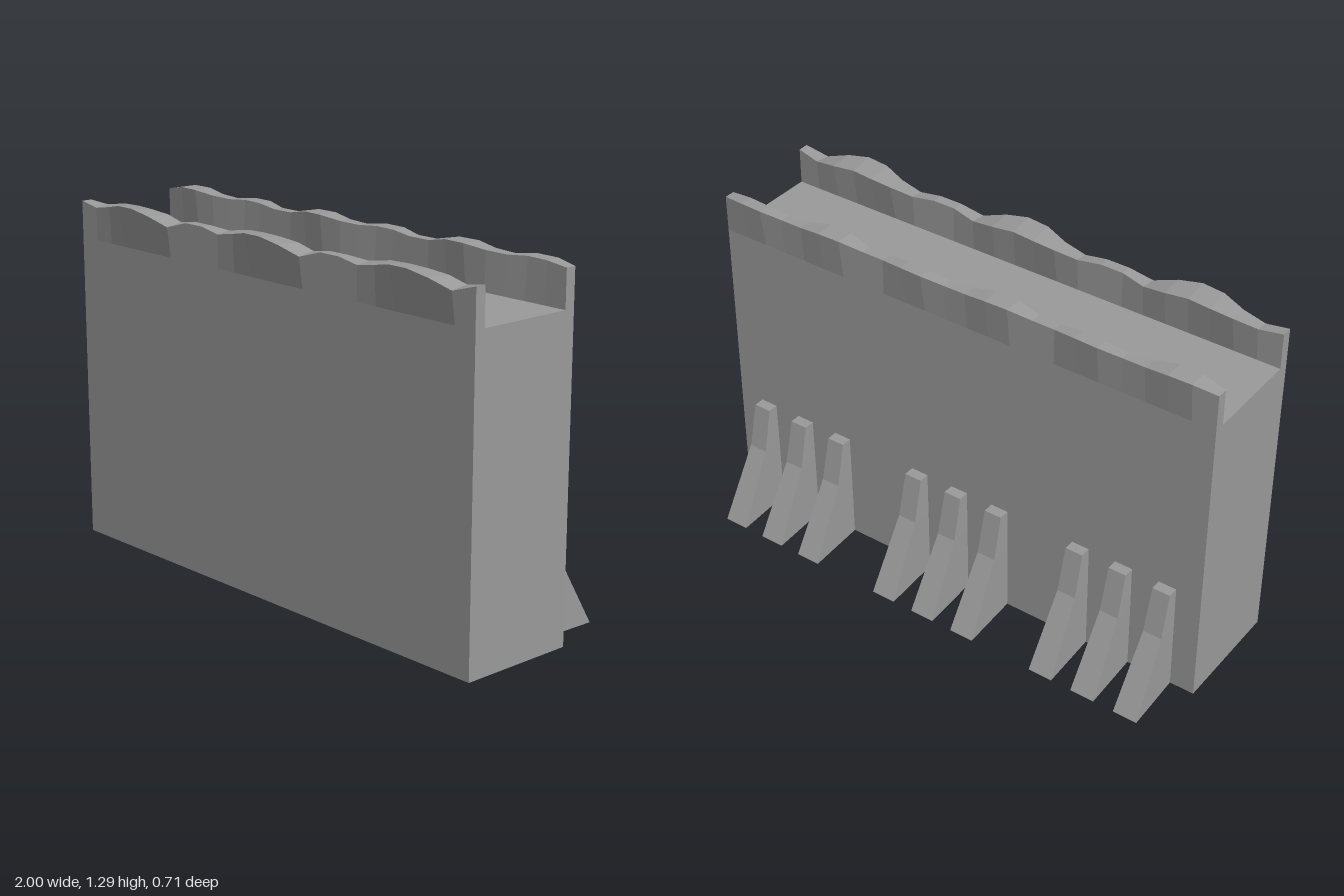
import * as THREE from 'three';

const material = new THREE.MeshStandardMaterial({ color: 0x9a9a9a });

// Skin a list of four-cornered rings (counter-clockwise seen from the far end) and cap both ends.
// Each quad gets one normal, so slightly twisted faces still shade as a single facet.
function loft(name, rings) {
  const pos = [], nor = [];
  const quad = (...corners) => {
    const [a, b, c, d] = corners.map((p) => new THREE.Vector3(...p));
    const n = c.clone().sub(a).cross(d.clone().sub(b)).normalize();
    for (const p of [a, b, d, b, c, d]) {
      pos.push(p.x, p.y, p.z);
      nor.push(n.x, n.y, n.z);
    }
  };
  for (let k = 0; k < rings.length - 1; k++) {
    const a = rings[k], b = rings[k + 1];
    for (let i = 0; i < 4; i++) {
      const j = (i + 1) % 4;
      quad(a[i], a[j], b[j], b[i]);
    }
  }
  quad(...[...rings[0]].reverse());
  quad(...rings[rings.length - 1]);
  const g = new THREE.BufferGeometry();
  g.setAttribute('position', new THREE.Float32BufferAttribute(pos, 3));
  g.setAttribute('normal', new THREE.Float32BufferAttribute(nor, 3));
  const mesh = new THREE.Mesh(g, material);
  mesh.name = name;
  return mesh;
}

const BODY_TOP = 1.14, BACK = -0.125, FRONT = 0.32, THICK = 0.04;
const STEPS = 23; // parapet segments; the worn edge repeats every eight

// Worn parapet: straight foot, wavy top edge. Rows of [z, y] for the low-z and high-z top edges.
function parapet(name, footZ, lowEdge, highEdge) {
  const rings = [];
  for (let i = 0; i <= STEPS; i++) {
    const x = -1 + (2 * i) / STEPS;
    const [zl, yl] = lowEdge[i % 8], [zh, yh] = highEdge[i % 8];
    rings.push([[x, BODY_TOP, footZ], [x, yl, zl], [x, yh, zh], [x, BODY_TOP, footZ + THICK]]);
  }
  return loft(name, rings);
}

// Sloped buttress: levels of [y, outer z, outer half width, wall half width]
function buttress(x) {
  const levels = [
    [0, -0.357, 0.047, 0.038],
    [0.265, -0.205, 0.036, 0.036],
    [0.43, -0.165, 0.034, 0.034],
  ];
  return loft('buttress', levels.map(([y, z, wo, wi]) => [
    [x - wo, y, z], [x - wi, y, BACK], [x + wi, y, BACK], [x + wo, y, z],
  ]));
}

export function createModel() {
  const model = new THREE.Group();
  model.name = 'wallSection';

  // Main wall block
  const body = new THREE.Mesh(new THREE.BoxGeometry(2, BODY_TOP, FRONT - BACK), material);
  body.name = 'wallBody';
  body.position.set(0, BODY_TOP / 2, (FRONT + BACK) / 2);
  model.add(body);

  // Parapets along both edges of the walkway
  model.add(parapet('frontParapet', FRONT - THICK,
    [[0.28, 1.275], [0.268, 1.267], [0.255, 1.28], [0.257, 1.283], [0.265, 1.283], [0.26, 1.275], [0.27, 1.26], [0.28, 1.275]],
    [[0.32, 1.275], [0.32, 1.26], [0.327, 1.275], [0.35, 1.293], [0.357, 1.295], [0.35, 1.278], [0.335, 1.25], [0.32, 1.275]]));
  model.add(parapet('backParapet', BACK,
    [[-0.125, 1.275], [-0.143, 1.292], [-0.145, 1.292], [-0.135, 1.28], [-0.132, 1.277], [-0.145, 1.287], [-0.142, 1.287], [-0.125, 1.275]],
    [[-0.085, 1.275], [-0.075, 1.292], [-0.07, 1.292], [-0.085, 1.28], [-0.093, 1.277], [-0.096, 1.285], [-0.09, 1.285], [-0.085, 1.275]]));

  // Three groups of three buttresses on the back
  const buttresses = new THREE.Group();
  buttresses.name = 'buttresses';
  for (const centre of [-0.695, -0.008, 0.693]) {
    for (const offset of [-0.174, 0, 0.174]) buttresses.add(buttress(centre + offset));
  }
  model.add(buttresses);
  return model;
}
